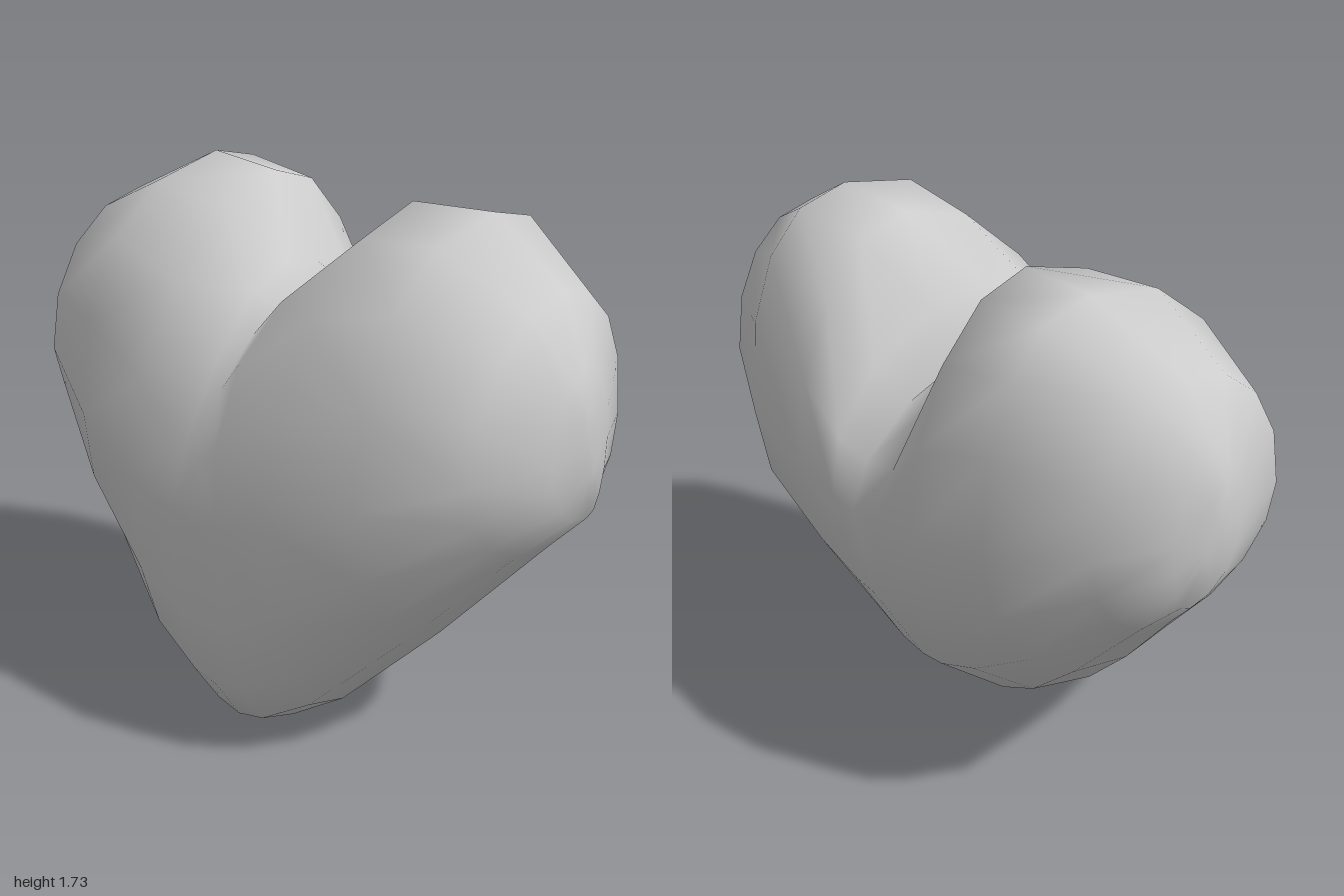
import * as THREE from 'three';

// Side-to-side sections of one half, each given by its four extreme points:
// x, top [y, z], front [y, z], bottom [y, z], back [y, z], and the roundness of
// the upper front, lower front, lower back and upper back (2 = ellipse, 1 = straight).
// A lean widens the cleft towards the back.
const HALF = [
  { x: 0.00, lean: 0, top: [1.38, 0.14], front: [0.8, 0.555], bottom: [0.005, 0.23], back: [0.95, -0.56], round: [1.8, 2.35, 1.8, 1.8] },
  { x: 0.10, lean: 0.22, top: [1.49, 0.04], front: [0.81, 0.553], bottom: [0.025, 0.22], back: [0.96, -0.56], round: [1.8, 2.35, 1.8, 1.65] },
  { x: 0.28, lean: 0, top: [1.715, -0.12], front: [0.87, 0.545], bottom: [0.14, 0.18], back: [0.98, -0.555], round: [1.85, 2.35, 1.8, 2] },
  { x: 0.57, lean: 0, top: [1.73, -0.14], front: [0.98, 0.48], bottom: [0.44, 0.06], back: [1.05, -0.53], round: [2.2, 2.2, 2, 2.35] },
  { x: 0.87, lean: 0, top: [1.57, -0.07], front: [1.1, 0.345], bottom: [0.79, -0.06], back: [1.12, -0.39], round: [2, 2, 2.1, 2.1] },
  { x: 0.97, lean: 0, top: [1.37, -0.04], front: [1.12, 0.09], bottom: [0.9, -0.1], back: [1.13, -0.18], round: [2, 2, 2.2, 2] },
  { x: 1.00, lean: 0, top: [1.28, -0.03], front: [1.15, 0.01], bottom: [1.05, -0.06], back: [1.13, -0.09], round: [2, 2, 2, 2] },
];
const QUARTER = 4;
const RING = QUARTER * 4;

// Closed loop running top, front, bottom, back
function sectionLoop(s, side) {
  const points = [];
  const arc = (poleEnd, sideEnd, power, lean, toSide) => {
    for (let i = 0; i < QUARTER; i++) {
      const t = ((toSide ? i : QUARTER - i) / QUARTER) * Math.PI / 2;
      const u = Math.pow(Math.max(0, Math.sin(t)), 2 / power);
      const v = Math.pow(Math.max(0, Math.cos(t)), 2 / power);
      const y = sideEnd[0] + (poleEnd[0] - sideEnd[0]) * v;
      const z = poleEnd[1] + (sideEnd[1] - poleEnd[1]) * u;
      points.push([side * (s.x - lean * z * v), y, z]);
    }
  };
  arc(s.top, s.front, s.round[0], s.lean, true);
  arc(s.bottom, s.front, s.round[1], 0, false);
  arc(s.bottom, s.back, s.round[2], 0, true);
  arc(s.top, s.back, s.round[3], s.lean, false);
  return points;
}

function heartGeometry() {
  const loops = [
    ...HALF.slice(1).reverse().map((s) => sectionLoop(s, -1)),
    ...HALF.map((s) => sectionLoop(s, 1)),
  ];
  const positions = loops.flat(2);
  const index = [];

  // Skin between neighbouring sections
  for (let s = 0; s < loops.length - 1; s++) {
    for (let i = 0; i < RING; i++) {
      const j = (i + 1) % RING;
      const a = s * RING + i, b = s * RING + j;
      const c = a + RING, d = b + RING;
      // Diagonals mirror about the middle
      if (s < HALF.length - 1) index.push(a, b, c, b, d, c);
      else index.push(a, b, d, a, d, c);
    }
  }

  // Closed outer ends
  const last = (loops.length - 1) * RING;
  const leftTip = loops.length * RING, rightTip = leftTip + 1;
  positions.push(1, 1.16, -0.04, -1, 1.16, -0.04);
  for (let i = 0; i < RING; i++) {
    const j = (i + 1) % RING;
    index.push(leftTip, last + i, last + j);
    index.push(rightTip, j, i);
  }

  const geometry = new THREE.BufferGeometry();
  geometry.setAttribute('position', new THREE.Float32BufferAttribute(positions, 3));
  geometry.setIndex(index);
  geometry.computeVertexNormals();
  return geometry;
}

export function createModel() {
  const group = new THREE.Group();
  group.name = 'heart';
  const body = new THREE.Mesh(heartGeometry(), new THREE.MeshStandardMaterial({ color: 0xcccccc }));
  body.name = 'heartBody';
  group.add(body);
  return group;
}
